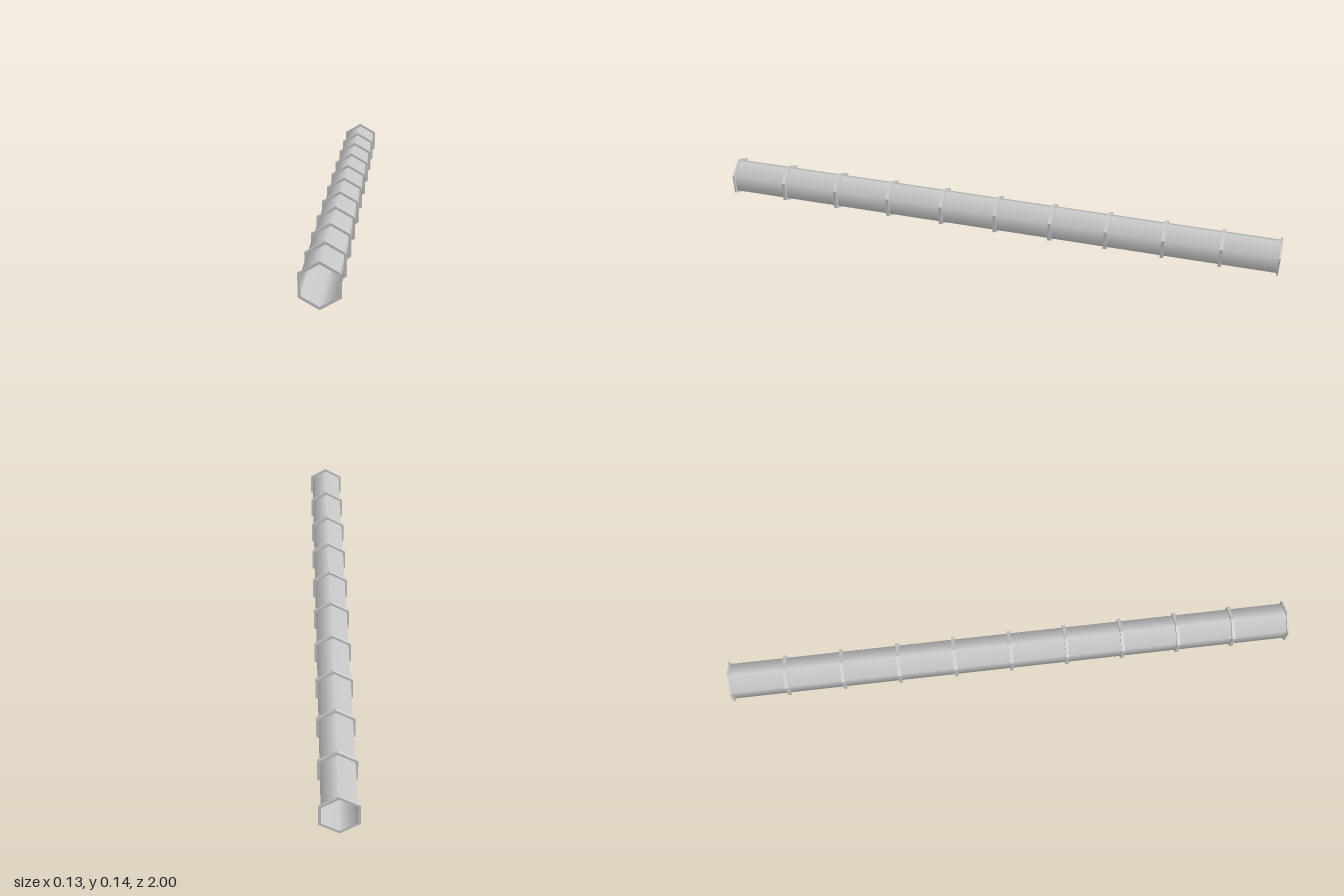
import * as THREE from 'three';

const OUTER = 0.0725;   // flange corner radius
const INNER = 0.063;    // tube corner radius
const SEGMENTS = 10;
const LENGTH = 2 / SEGMENTS;
const FLANGE = 0.006;   // flange thickness

// Hexagon corners with one corner pointing up
function hexagon(radius) {
  return Array.from({ length: 6 }, (_, i) => {
    const a = Math.PI / 2 + (i * Math.PI) / 3;
    return new THREE.Vector2(radius * Math.cos(a), radius * Math.sin(a));
  });
}

export function createModel() {
  const model = new THREE.Group();
  model.name = 'hexagonalDuct';

  const metal = new THREE.MeshStandardMaterial({ color: 0xcccccc });
  const sheet = new THREE.MeshStandardMaterial({ color: 0xcccccc, side: THREE.DoubleSide });

  // Thin open tube, shaded smoothly around its six sides
  const tubeGeometry = new THREE.CylinderGeometry(INNER, INNER, LENGTH, 6, 1, true);
  tubeGeometry.rotateX(Math.PI / 2);

  // Flat hexagonal collar
  const collar = new THREE.Shape(hexagon(OUTER));
  collar.holes.push(new THREE.Path(hexagon(INNER).reverse()));
  const flangeGeometry = new THREE.ExtrudeGeometry(collar, { depth: FLANGE, bevelEnabled: false });
  flangeGeometry.translate(0, 0, -FLANGE / 2);

  // Identical sections, each with a flange at both ends
  for (let i = 0; i < SEGMENTS; i++) {
    const section = new THREE.Group();
    section.name = `section${i + 1}`;
    section.position.set(0, OUTER, -1 + LENGTH * (i + 0.5));

    const tube = new THREE.Mesh(tubeGeometry, sheet);
    tube.name = 'tube';
    section.add(tube);

    for (const side of [-1, 1]) {
      const flange = new THREE.Mesh(flangeGeometry, metal);
      flange.name = side > 0 ? 'frontFlange' : 'backFlange';
      flange.position.z = side * (LENGTH - FLANGE) / 2;
      section.add(flange);
    }
    model.add(section);
  }
  return model;
}
